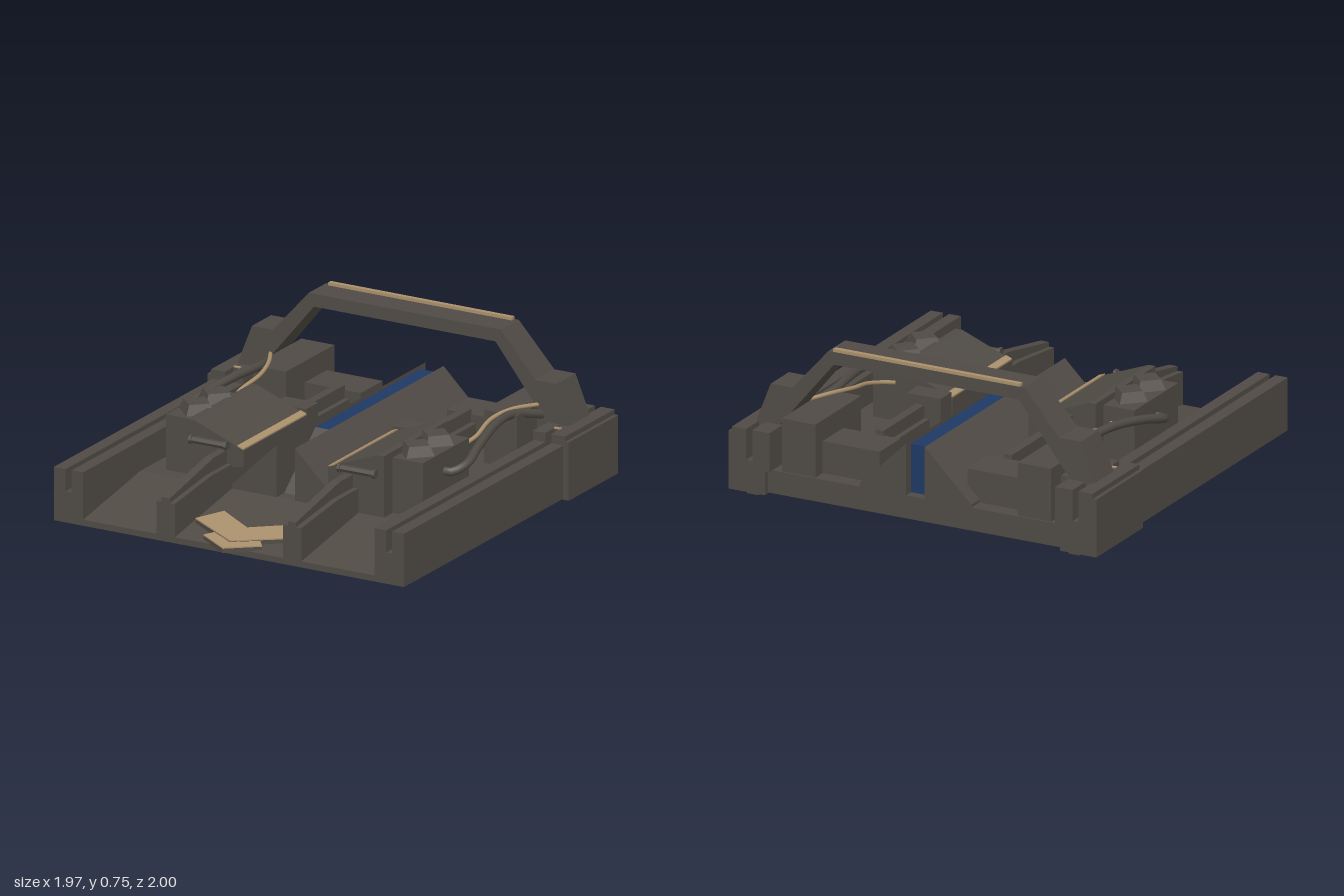
import * as THREE from 'three';

const gunmetal = new THREE.MeshStandardMaterial({ color: 0x4f4a44 });
gunmetal.name = 'gunmetal';
const tan = new THREE.MeshStandardMaterial({ color: 0xa98f6b });
tan.name = 'tan';
const blue = new THREE.MeshStandardMaterial({ color: 0x1e3964 });
blue.name = 'blue';

export function createModel() {
  const model = new THREE.Group();

  const add = (name, geo, mat = gunmetal) => {
    const mesh = new THREE.Mesh(geo, mat);
    mesh.name = name;
    model.add(mesh);
    return mesh;
  };
  // box from its limits
  const box = (name, x0, x1, y0, y1, z0, z1, mat) => {
    const g = new THREE.BoxGeometry(Math.abs(x1 - x0), y1 - y0, z1 - z0);
    g.translate((x0 + x1) / 2, (y0 + y1) / 2, (z0 + z1) / 2);
    return add(name, g, mat);
  };
  const shapeOf = (pts) => new THREE.Shape(pts.map(([a, b]) => new THREE.Vector2(a, b)));
  const extrude = (pts, depth) =>
    new THREE.ExtrudeGeometry(shapeOf(pts), { depth, bevelEnabled: false });
  // front profile (x, y) swept along z, s mirrors x
  const alongZ = (name, pts, z0, z1, s = 1, mat) =>
    add(name, extrude(pts.map(([x, y]) => [x * s, y]), z1 - z0).translate(0, 0, z0), mat);
  // side profile (z, y) swept along x
  const alongX = (name, pts, x0, x1, mat) => {
    const a = Math.min(x0, x1), b = Math.max(x0, x1);
    return add(name, extrude(pts, b - a).rotateY(-Math.PI / 2).translate(b, 0, 0), mat);
  };
  // flat-sided cylinder
  const prism = (rTop, rBottom, h, sides) => {
    const g = new THREE.CylinderGeometry(rTop, rBottom, h, sides).toNonIndexed();
    g.computeVertexNormals();
    return g;
  };

  // thin floor with front ramp, and rear wall
  alongX('floor', [[0.94, 0.015], [0.94, 0.045], [0.41, 0.13], [-0.95, 0.13],
    [-0.95, 0.12], [0.41, 0.12], [0.8, 0.058]], -0.81, 0.81);
  box('rearWall', -0.81, 0.81, 0.015, 0.13, -0.97, -0.92);

  // slotted channel profile
  const channel = (xi, xo, y0, y1) => [[xi, y0], [xo, y0], [xo, y1], [0.89, y1],
    [0.89, 0.17], [0.857, 0.17], [0.857, y1], [xi, y1]];

  for (const s of [1, -1]) {
    // outer rails, with a key filling the middle of the rear slot
    alongZ('sideRail', channel(0.795, 0.955, 0.015, 0.28), -0.54, 0.94, s);
    alongZ('rearRailBlock', channel(0.79, 0.965, 0.01, 0.325), -1, -0.54, s);
    box('rearSidePlate', s * 0.96, s * 0.985, 0.01, 0.3, -1, -0.54);
    box('slotKey', s * 0.85, s * 0.895, 0.16, 0.322, -0.87, -0.62);
    box('slotMarker', s * 0.855, s * 0.892, 0.32, 0.328, -0.637, -0.622, tan);
    box('railFoot', s * 0.83, s * 0.89, 0, 0.012, -0.99, -0.55);
    box('rearPost', s * 0.765, s * 0.84, 0.13, 0.325, -1, -0.87);
    box('handleBase', s * 0.7, s * 0.85, 0.12, 0.33, -0.86, -0.695);

    // inner ribs with raised tongue
    alongX('innerRib', [[0.94, 0.015], [0.94, 0.21], [0.6, 0.25], [-0.69, 0.25],
      [-0.69, 0.125], [-0.95, 0.125], [-0.95, 0.015]], s * 0.295, s * 0.395);
    alongX('ribTongue', [[0.94, 0.1], [0.94, 0.233], [0.53, 0.315], [-0.69, 0.315],
      [-0.69, 0.1]], s * 0.322, s * 0.366);

    // engine blocks with sloped lid and tan edge
    alongZ('engineBlock', [[0.535, 0.105], [0.535, 0.435], [0.5, 0.435], [0.23, 0.33],
      [0.23, 0.25], [0.3, 0.235], [0.3, 0.105]], -0.18, 0.41, s);
    alongZ('engineStripe', [[0.233, 0.332], [0.233, 0.338], [0.265, 0.35], [0.265, 0.344]],
      -0.18, 0.41, s, tan);
    box('engineTail', s * 0.235, s * 0.415, 0.125, 0.36, -0.29, -0.18);
    box('valveBox', s * 0.535, s * 0.7, 0.11, 0.405, -0.1, 0.33);
    for (const z of [0.035, 0.215]) {
      add('valveCap', prism(0.072, 0.097, 0.05, 4).translate(s * 0.6, 0.43, z));
    }

    // hexagonal bars with end collars on the engine fronts
    add('frontBar', prism(0.017, 0.017, 0.2, 6).rotateZ(Math.PI / 2).translate(s * 0.405, 0.348, 0.436));
    for (const x of [0.31, 0.5]) {
      add('barCollar', prism(0.024, 0.024, 0.014, 6).rotateZ(Math.PI / 2).translate(s * x, 0.348, 0.436));
    }

    // rear equipment boxes
    box('rearTallBox', s * 0.54, s * 0.72, 0.125, 0.395, -0.96, -0.51);
    box('rearLowBox', s * 0.235, s * 0.54, 0.125, 0.29, -0.89, -0.685);

    // hose and thin line
    const tube = (name, pts, r, mat) => add(name, new THREE.TubeGeometry(
      new THREE.CatmullRomCurve3(pts.map(([x, y, z]) => new THREE.Vector3(x * s, y, z))),
      40, r, 8), mat);
    tube('hose', [[0.66, 0.31, 0.12], [0.73, 0.305, 0.12], [0.772, 0.33, 0.05],
      [0.75, 0.37, -0.1], [0.705, 0.4, -0.33], [0.69, 0.395, -0.52], [0.76, 0.35, -0.72]], 0.022);
    tube('thinLine', [[0.57, 0.32, -0.09], [0.62, 0.335, -0.16], [0.645, 0.355, -0.25],
      [0.63, 0.39, -0.42], [0.66, 0.405, -0.55], [0.74, 0.4, -0.71]], 0.01, tan);

    // central ridge, one half per side
    alongZ('centreRidge', [[0.05, 0.11], [0.05, 0.39], [0.3, 0.145], [0.3, 0.11]], -0.97, 0.41, s);
  }

  // spine between the ridge halves, sloping down at the front
  box('spineStrip', -0.05, 0.05, 0.115, 0.372, -0.92, 0.05, blue);
  alongX('spineSlope', [[0.05, 0.115], [0.34, 0.115], [0.34, 0.13], [0.05, 0.372]], -0.05, 0.05);

  // arched handle, tapering in depth toward the top
  const taper = (geo) => {
    const p = geo.attributes.position;
    for (let i = 0; i < p.count; i++) {
      const half = THREE.MathUtils.mapLinear(p.getY(i), 0.3, 0.735, 0.097, 0.082);
      p.setZ(i, -0.778 + Math.sign(p.getZ(i)) * half);
    }
    geo.computeVertexNormals();
    return geo;
  };
  const half = [[0.525, 0.735], [0.82, 0.4], [0.88, 0.32], [0.79, 0.31], [0.495, 0.672]];
  const arch = [...half, ...half.map(([x, y]) => [-x, y]).reverse()];
  add('handle', taper(extrude(arch, 2).translate(0, 0, -1)));
  for (const s of [1, -1]) {
    const foot = [[0.91, 0.31], [0.83, 0.52], [0.7, 0.52], [0.7, 0.47], [0.81, 0.31]];
    add('handleFoot', taper(extrude(foot.map(([x, y]) => [x * s, y]), 2).translate(0, 0, -1)));
  }
  box('handleStripe', -0.5, 0.5, 0.73, 0.75, -0.86, -0.835, tan);

  // tilted front chevrons: dark plate with tan face
  const chevron = (name, right, drop) => {
    const pts = [...right, ...right.slice(1, -1).map(([x, z]) => [-x, z]).reverse()];
    const layer = (label, depth, lift, mat) => {
      const g = extrude(pts.map(([x, z]) => [x, -z]), depth).rotateX(-Math.PI / 2);
      const p = g.attributes.position;
      for (let i = 0; i < p.count; i++) {
        p.setY(i, p.getY(i) + lift - drop + (1 - p.getZ(i)) * 0.11);
      }
      g.computeVertexNormals();
      add(label, g, mat);
    };
    layer(name + 'Base', 0.022, 0.042, gunmetal);
    layer(name + 'Face', 0.006, 0.064, tan);
  };
  chevron('largeChevron', [[0, 0.77], [0.195, 0.65], [0.28, 0.775], [0, 0.93]], 0);
  chevron('smallChevron', [[0, 0.9], [0.125, 0.86], [0.16, 0.905], [0, 0.998]], 0.008);

  return model;
}
